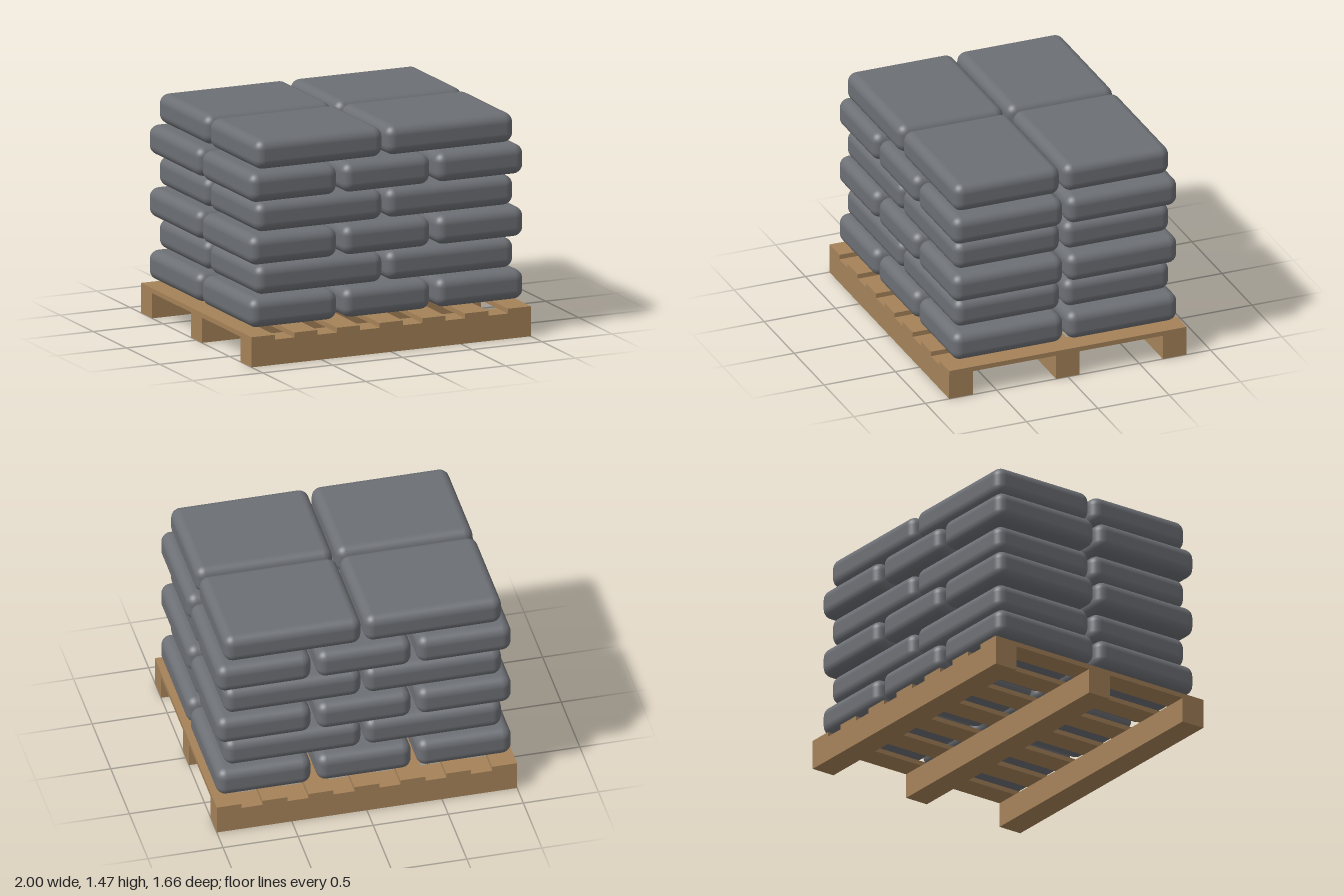
import * as THREE from 'three';
import { RoundedBoxGeometry } from 'three/addons/geometries/RoundedBoxGeometry.js';

export function createModel() {
  const model = new THREE.Group();
  model.name = 'palletOfBags';

  const wood = new THREE.MeshStandardMaterial({ color: 0xa58259 });
  wood.name = 'wood';
  const sack = new THREE.MeshStandardMaterial({ color: 0x6c6f74 });
  sack.name = 'greySack';

  const add = (parent, name, geometry, material, x, y, z) => {
    const mesh = new THREE.Mesh(geometry, material);
    mesh.name = name;
    mesh.position.set(x, y, z);
    parent.add(mesh);
  };

  // Pallet: three runners along x, seven slats across
  const pallet = new THREE.Group();
  pallet.name = 'pallet';
  model.add(pallet);
  const runner = new THREE.BoxGeometry(2, 0.168, 0.166);
  for (const z of [-0.749, 0, 0.749]) add(pallet, 'runner', runner, wood, 0, 0.084, z);
  const slat = new THREE.BoxGeometry(0.166, 0.032, 1.664);
  for (let i = -3; i <= 3; i++) add(pallet, 'slat', slat, wood, i * 0.3057, 0.184, 0);

  // Bags: six layers, alternating three and two columns, two rows deep
  const height = 0.197, pitch = 0.208, firstCentre = 0.336, radius = 0.065;
  const layouts = [
    { columns: [-0.667, 0, 0.667], z: 0.4, geometry: new RoundedBoxGeometry(0.63, height, 0.778, 5, radius) },
    { columns: [-0.468, 0.468], z: 0.383, geometry: new RoundedBoxGeometry(0.914, height, 0.745, 5, radius) },
  ];
  for (let i = 0; i < 6; i++) {
    const { columns, z, geometry } = layouts[i % 2];
    const layer = new THREE.Group();
    layer.name = 'bagLayer';
    layer.position.y = firstCentre + i * pitch;
    model.add(layer);
    for (const x of columns)
      for (const side of [-1, 1]) add(layer, 'bag', geometry, sack, x, 0, side * z);
  }
  return model;
}
